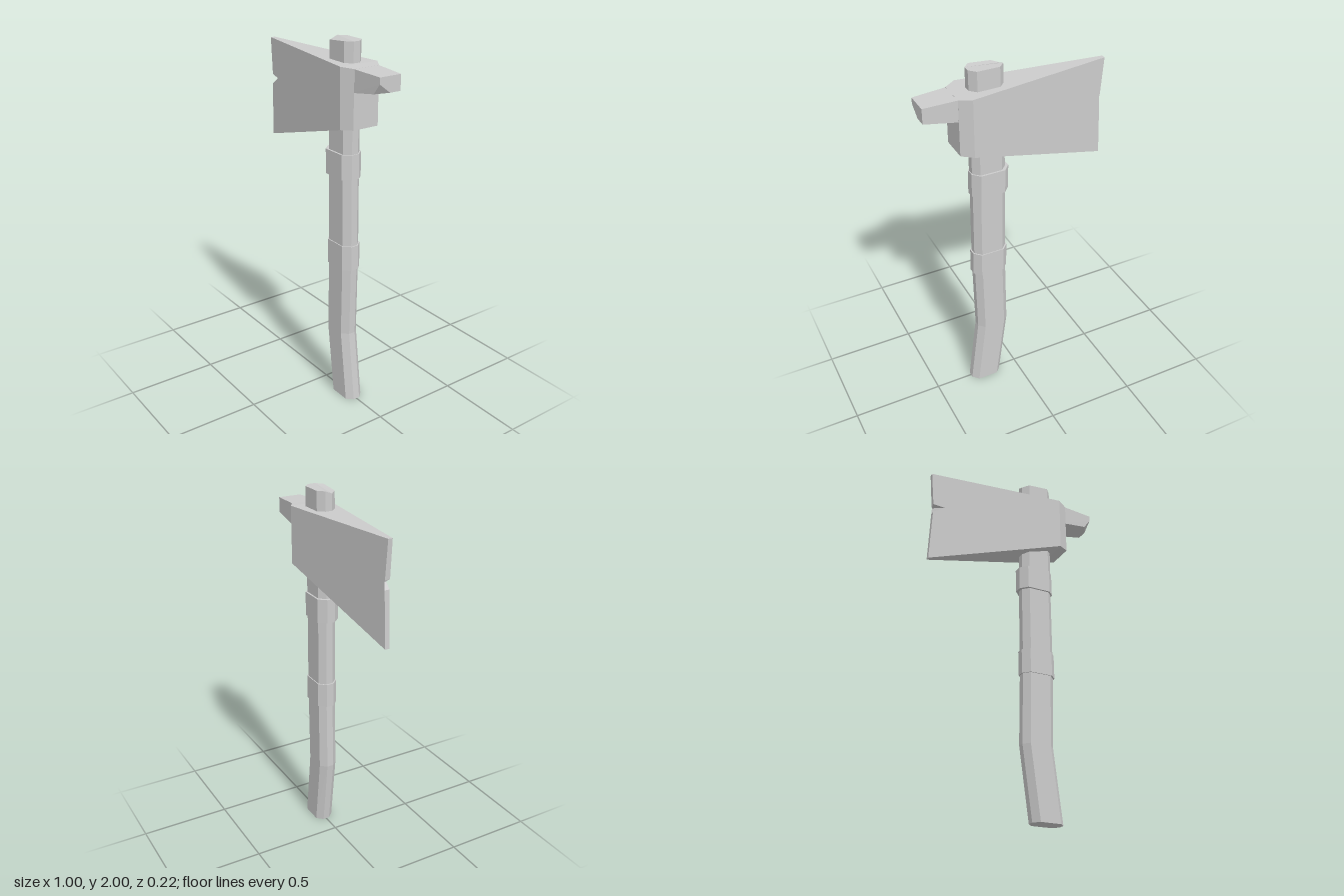
import * as THREE from 'three';
import { ConvexGeometry } from 'three/addons/geometries/ConvexGeometry.js';

const material = new THREE.MeshStandardMaterial({ color: 0xcccccc, flatShading: true });

function addPart(group, name, geometry) {
  geometry.computeVertexNormals();
  const mesh = new THREE.Mesh(geometry, material);
  mesh.name = name;
  group.add(mesh);
}

// Flattened octagon, counter-clockwise seen from above.
function ring([y, x0, x1, halfZ]) {
  const cx = (x0 + x1) / 2, hx = (x1 - x0) / 2, ix = hx * 0.65, iz = halfZ * 0.36;
  return [[hx, iz], [hx, -iz], [ix, -halfZ], [-ix, -halfZ], [-hx, -iz], [-hx, iz], [-ix, halfZ], [ix, halfZ]]
    .map(([x, z]) => [cx + x, y, z]);
}

// Capped solid through a stack of octagons: [y, minX, maxX, halfDepth].
function loft(sections, adjust) {
  const rings = sections.map(ring);
  if (adjust) adjust(rings);
  const n = 8, pos = rings.flat(2), idx = [], last = (rings.length - 1) * n;
  for (let r = 0; r < rings.length - 1; r++) {
    for (let i = 0; i < n; i++) {
      const a = r * n + i, b = r * n + (i + 1) % n;
      idx.push(a, b, b + n, a, b + n, a + n);
    }
  }
  for (let i = 1; i < n - 1; i++) {
    idx.push(0, i + 1, i, last, last + i, last + i + 1);
  }
  const g = new THREE.BufferGeometry();
  g.setAttribute('position', new THREE.Float32BufferAttribute(pos, 3));
  g.setIndex(idx);
  return g.toNonIndexed();
}

// Side outline given thickness by a rule of x; optional change to the back face.
function taperedPlate(outline, halfZ, backX = (x) => x) {
  const shape = new THREE.Shape(outline.map(([x, y]) => new THREE.Vector2(x, y)));
  const g = new THREE.ExtrudeGeometry(shape, { depth: 1, bevelEnabled: false });
  const p = g.attributes.position;
  for (let i = 0; i < p.count; i++) {
    const front = p.getZ(i) > 0.5;
    const x = front ? p.getX(i) : backX(p.getX(i));
    p.setX(i, x);
    p.setZ(i, halfZ(x) * (front ? 1 : -1));
  }
  return g;
}

export function createModel() {
  const axe = new THREE.Group();
  axe.name = 'axe';

  // Bent handle with a chipped top corner
  addPart(axe, 'handle', loft([
    [0, 0.11, 0.288, 0.052],
    [0.4, 0.058, 0.238, 0.052],
    [0.86, 0.065, 0.247, 0.052],
    [1.36, 0.06, 0.243, 0.052],
    [2, 0.065, 0.247, 0.052],
  ], (rings) => { rings[4][5][1] = 1.985; rings[4][6][1] = 1.99; }));

  // Bands round the handle
  addPart(axe, 'lowerBand', loft([[0.793, 0.058, 0.255, 0.057], [0.93, 0.056, 0.253, 0.057]]));
  addPart(axe, 'upperBand', loft([[1.3, 0.045, 0.25, 0.062], [1.433, 0.043, 0.248, 0.062]]));

  // Wedge-shaped blade, its cutting edge chipped on the front face
  addPart(axe, 'blade', taperedPlate(
    [[-0.5, 1.905], [-0.485, 1.705], [-0.42, 1.695], [-0.485, 1.655], [-0.5, 1.36], [0.265, 1.585], [0.265, 1.895]],
    (x) => 0.012 + (x + 0.5) / 0.765 * 0.1,
    (x) => (Math.abs(x + 0.42) < 0.001 ? -0.482 : x),
  ));

  // Block behind the handle
  addPart(axe, 'poll', taperedPlate(
    [[0.265, 1.585], [0.325, 1.59], [0.325, 1.89], [0.265, 1.895]],
    (x) => 0.112 - (x - 0.265) / 0.06 * 0.037,
  ));

  // Rear spur with one corner broken off
  addPart(axe, 'spur', new ConvexGeometry([
    [0.31, 1.89, 0.075], [0.31, 1.89, -0.075], [0.31, 1.773, 0.075], [0.31, 1.773, -0.075],
    [0.5, 1.882, 0.063], [0.5, 1.882, -0.063], [0.5, 1.802, -0.063],
    [0.5, 1.802, 0], [0.5, 1.85, 0.063], [0.46, 1.796, 0.065],
  ].map((p) => new THREE.Vector3(...p))));

  return axe;
}
